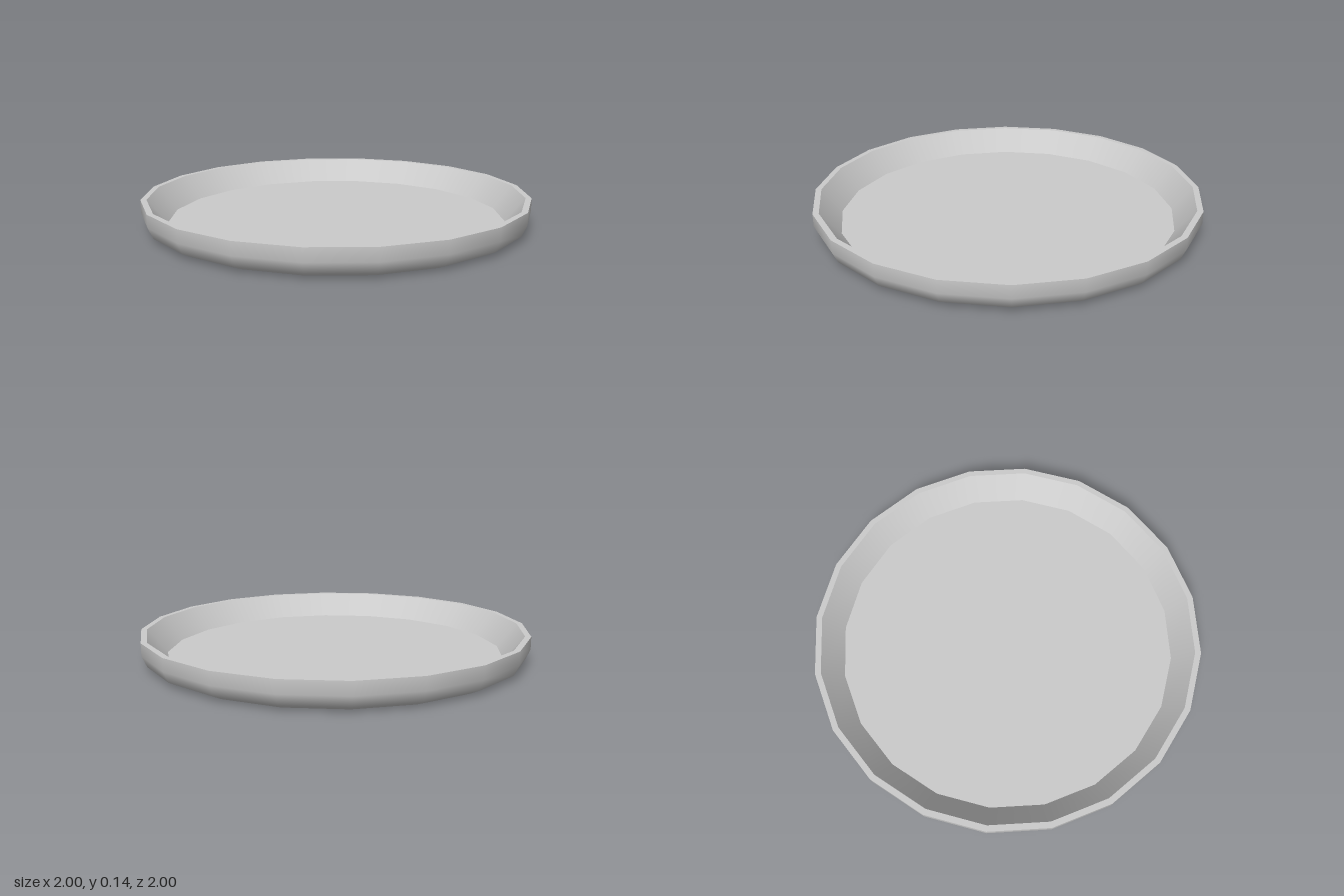
import * as THREE from 'three';

const SIDES = 20;

export function createModel() {
  const group = new THREE.Group();
  group.name = 'roundTray';
  const material = new THREE.MeshStandardMaterial({ color: 0xcccccc });

  // Each surface is its own lathe, so edges between them stay sharp
  const addLathe = (name, profile) => {
    const points = profile.map(([r, y]) => new THREE.Vector2(r, y));
    const mesh = new THREE.Mesh(new THREE.LatheGeometry(points, SIDES), material);
    mesh.name = name;
    group.add(mesh);
  };

  // Flat disc, facing up or down
  const addDisc = (name, radius, y, facing) => {
    const mesh = new THREE.Mesh(new THREE.CircleGeometry(radius, SIDES), material);
    mesh.name = name;
    mesh.rotation.x = -facing * Math.PI / 2;
    mesh.position.y = y;
    group.add(mesh);
  };

  addDisc('base', 0.925, 0, -1);
  addLathe('outerWall', [[0.925, 0], [0.975, 0.025], [1, 0.08], [1, 0.145]]);
  addLathe('rim', [[1, 0.145], [0.97, 0.145]]);
  addLathe('innerWall', [[0.97, 0.145], [0.87, 0.022]]);
  addDisc('floor', 0.87, 0.022, 1);

  return group;
}
